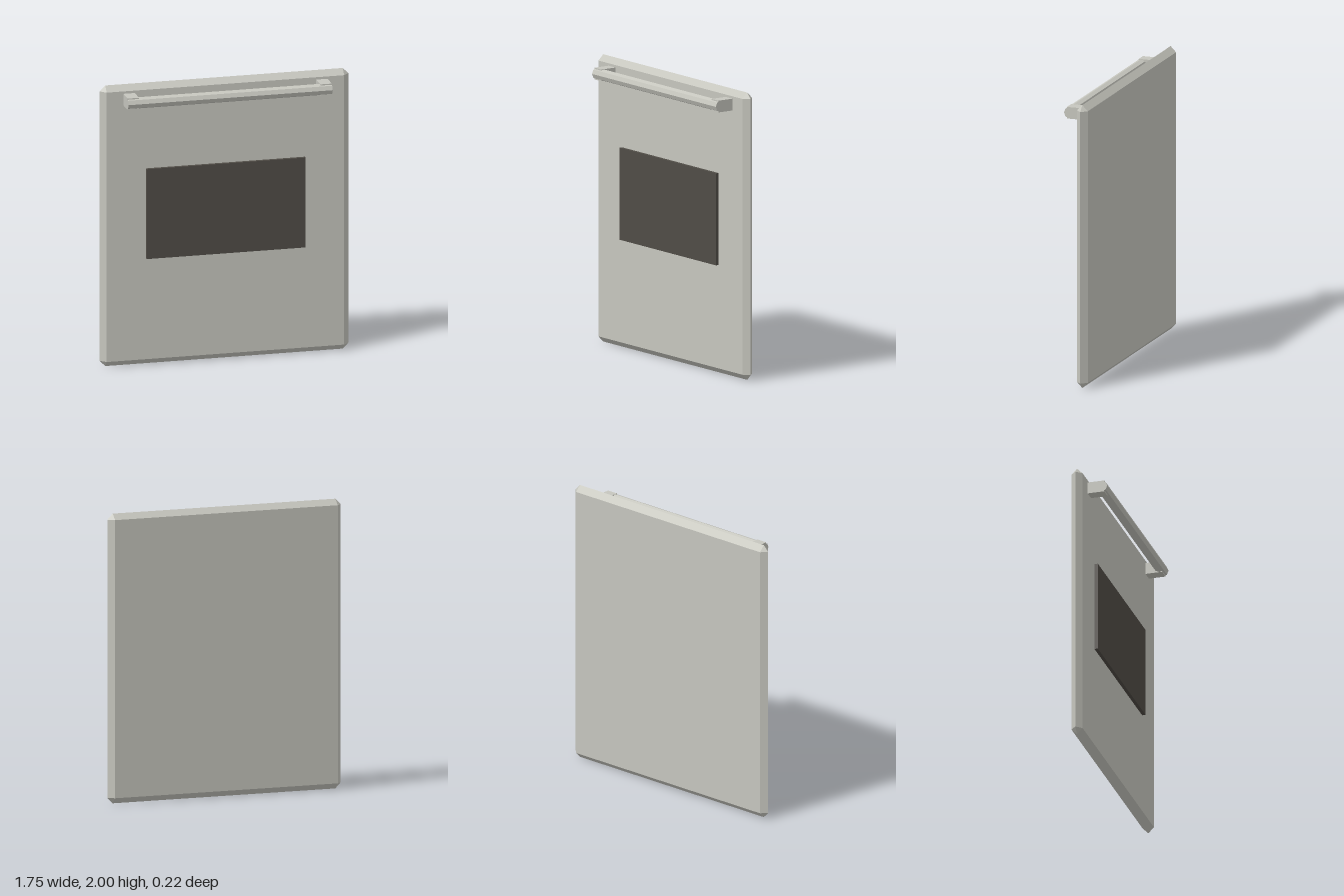
import * as THREE from 'three';
import { ConvexGeometry } from 'three/addons/geometries/ConvexGeometry.js';

const enamel = new THREE.MeshStandardMaterial({ color: 0xc6c6be, flatShading: true });
enamel.name = 'pale grey enamel';
const glass = new THREE.MeshStandardMaterial({ color: 0x504c46, flatShading: true });
glass.name = 'dark glass';

function addPart(group, name, geometry, material, x, y, z) {
  const mesh = new THREE.Mesh(geometry, material);
  mesh.name = name;
  mesh.position.set(x, y, z);
  group.add(mesh);
  return mesh;
}

// Box with 45 degree chamfers on every edge: each corner is cut by a small triangle
function chamferedBox(width, height, depth, bevel) {
  const w = width / 2, h = height / 2, d = depth / 2;
  const points = [];
  for (const sx of [-1, 1]) for (const sy of [-1, 1]) for (const sz of [-1, 1]) {
    points.push(
      new THREE.Vector3(sx * w, sy * (h - bevel), sz * (d - bevel)),
      new THREE.Vector3(sx * (w - bevel), sy * h, sz * (d - bevel)),
      new THREE.Vector3(sx * (w - bevel), sy * (h - bevel), sz * d));
  }
  // The bevels meet in a ridge when they take up the full depth, so drop doubled points
  const unique = points.filter((p, i) => points.findIndex(q => q.distanceTo(p) < 1e-6) === i);
  return new ConvexGeometry(unique);
}

export function createModel() {
  const model = new THREE.Group();
  model.name = 'ovenDoor';

  // Door slab with ridged edges
  addPart(model, 'doorPanel', chamferedBox(1.755, 2, 0.08, 0.04), enamel, 0, 1, -0.07);

  // Raised window plate
  addPart(model, 'window', new THREE.BoxGeometry(1.12, 0.64, 0.025), glass, 0, 1.08, -0.0185);

  // Handle: octagonal bar on two square posts
  const handle = new THREE.Group();
  handle.name = 'handle';
  const bar = addPart(handle, 'handleBar', new THREE.CylinderGeometry(0.04, 0.04, 1.44, 8), enamel, 0, 1.902, 0.07);
  bar.rotation.z = Math.PI / 2;
  for (const side of [-1, 1]) {
    addPart(handle, side > 0 ? 'leftPost' : 'rightPost',
      new THREE.BoxGeometry(0.08, 0.082, 0.12), enamel, side * 0.68, 1.902, 0.028);
  }
  model.add(handle);
  return model;
}
